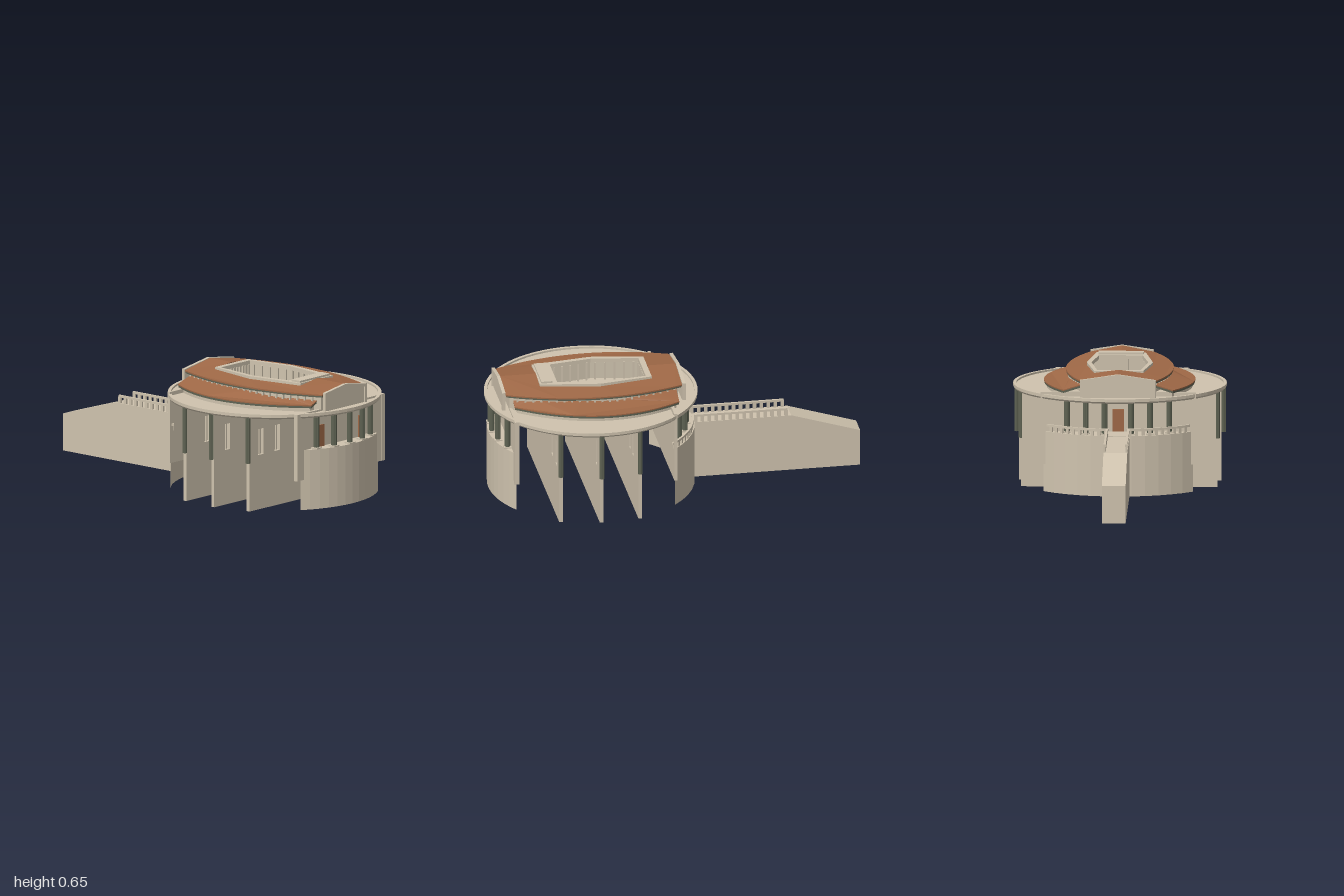
import * as THREE from 'three';

const CZ = 0.435; // centre of the round hall in z
const material = (name, color, extra = {}) => {
  const m = new THREE.MeshStandardMaterial({ color, ...extra });
  m.name = name;
  return m;
};
const stone = material('stone', 0xcfc3ae);
const shell = material('stone shell', 0xcfc3ae, { side: THREE.DoubleSide, flatShading: true });
const tile = material('clay tile', 0x9f6846);
const dark = material('dark olive', 0x5f6353);

export function createModel() {
  const root = new THREE.Group();
  const add = (name, geo, mat = stone, x = 0, y = 0, z = 0) => {
    const m = new THREE.Mesh(geo, mat);
    m.name = name;
    m.position.set(x, y, z);
    root.add(m);
    return m;
  };
  const box = (name, w, h, d, x, y, z, mat) => add(name, new THREE.BoxGeometry(w, h, d), mat, x, y + h / 2, z);
  const shapeOf = (pts) => new THREE.Shape(pts.map(([a, b]) => new THREE.Vector2(a, b)));
  const extrude = (shape, depth) => new THREE.ExtrudeGeometry(shape, { depth, bevelEnabled: false });

  // Horizontal slab from an (x, z) outline; drop(x, z) lowers it for a pitched roof
  const slab = (name, pts, top, thick, mat, drop = () => 0) => {
    const g = extrude(shapeOf(pts), thick).rotateX(Math.PI / 2);
    const p = g.attributes.position;
    for (let i = 0; i < p.count; i++) p.setY(i, p.getY(i) + top - drop(Math.abs(p.getX(i)), p.getZ(i)));
    g.computeVertexNormals();
    return add(name, g, mat);
  };
  const halves = (name, pts, ...rest) => {
    for (const s of [1, -1]) slab(name, pts.map(([x, z]) => [x * s, z]), ...rest);
  };

  // Fluted column
  const column = (name, x, z, y0, y1, r = 0.015) => {
    const pts = [];
    for (let i = 0; i < 32; i++) {
      const a = (i / 32) * Math.PI * 2, q = i % 2 ? r * 0.92 : r;
      pts.push([Math.cos(a) * q, Math.sin(a) * q]);
    }
    add(name, extrude(shapeOf(pts), y1 - y0).rotateX(-Math.PI / 2), dark, x, y0, z);
  };
  const deckColumn = (name, x, z) => {
    column(name, x, z, 0.33, 0.508);
    box(name + 'Base', 0.042, 0.007, 0.042, x, 0.33, z);
  };

  // Round roof terrace and its rim
  add('terrace', new THREE.CylinderGeometry(0.555, 0.555, 0.015, 64), stone, 0, 0.5125, CZ);
  const rim = [[0.548, 0.505], [0.558, 0.505], [0.565, 0.514], [0.565, 0.53], [0.548, 0.53], [0.548, 0.505]];
  const rimGeo = new THREE.LatheGeometry(rim.map(([a, b]) => new THREE.Vector2(a, b)), 64);
  add('terraceRim', rimGeo.toNonIndexed(), shell, 0, 0, CZ);

  // Three cross walls with window openings, each ending in columns
  const walls = [[0.68, [0.4, 0.27], 0.045], [0.47, [0.43], 0.04], [0.26, [0.35, 0.26], 0.045]];
  for (const [z, windows, w] of walls) {
    const end = Math.sqrt(0.548 ** 2 - (z - CZ) ** 2);
    const half = Math.min(end, 0.535);
    const wall = shapeOf([[-half, 0], [half, 0], [half, 0.508], [-half, 0.508]]);
    for (const s of [1, -1]) for (const x of windows) {
      const l = s * x - w / 2, r = s * x + w / 2;
      wall.holes.push(new THREE.Path([[l, 0.295], [l, 0.435], [r, 0.435], [r, 0.295]].map(([a, b]) => new THREE.Vector2(a, b))));
      box('windowMullion', 0.005, 0.14, 0.008, s * x, 0.295, z);
    }
    add('crossWall', extrude(wall, 0.02), stone, 0, 0, z - 0.01);
    for (const s of [1, -1]) column('sideColumn', s * end, z, 0.26, 0.508, 0.013);
  }

  // Curved bastions: hollow shells closed by a deck, with a wall behind the columns
  const bastion = (name, mid, half) => {
    const g = new THREE.CylinderGeometry(0.55, 0.55, 0.323, 12, 1, true, mid - half, half * 2);
    add(name + 'Bastion', g, shell, 0, 0.1685, CZ);
    const pts = [];
    for (let i = 0; i <= 12; i++) {
      const a = mid - half + (i / 12) * half * 2;
      pts.push([Math.sin(a) * 0.55, CZ + Math.cos(a) * 0.55]);
    }
    slab(name + 'Deck', pts, 0.33, 0.015, stone);
  };
  bastion('front', 0, 0.6);
  bastion('back', Math.PI, 0.8);
  box('frontWall', 0.7, 0.36, 0.016, 0, 0.17, 0.892);
  box('backWall', 0.82, 0.385, 0.016, 0, 0.155, 0.05);
  box('backDoor', 0.06, 0.12, 0.008, 0, 0.33, 0.039, tile);
  for (const s of [1, -1]) {
    box('frontPilaster', 0.025, 0.36, 0.024, s * 0.338, 0.17, 0.892);
    box('frontDoor', 0.05, 0.118, 0.008, s * 0.163, 0.33, 0.903, tile);
  }
  for (const x of [-0.215, -0.113, 0, 0.113, 0.215]) deckColumn('frontColumn', x, CZ + Math.sqrt(0.53 ** 2 - x * x));
  for (const x of [-0.27, -0.17, -0.07, 0.07, 0.17, 0.27]) deckColumn('backColumn', x, CZ - Math.sqrt(0.505 ** 2 - x * x));

  // Approach bridge sloping down at its far end
  const bridge = shapeOf([[0.1, 0.01], [1, 0.01], [1, 0.21], [0.63, 0.325], [0.1, 0.325]]);
  add('bridge', extrude(bridge, 0.126).rotateY(Math.PI / 2), stone, -0.063, 0, 0);

  // Balustrades on the bridge and along the back deck
  for (const s of [1, -1]) {
    box('bridgeRail', 0.012, 0.012, 0.5, s * 0.057, 0.356, -0.36);
    for (let i = 0; i < 14; i++) box('bridgeBaluster', 0.01, 0.035, 0.018, s * 0.057, 0.323, -0.117 - i * 0.0374);
    for (let i = 0; i < 11; i++) {
      const a = Math.PI + s * (0.12 + i * 0.066);
      const x = Math.sin(a) * 0.54, z = CZ + Math.cos(a) * 0.54;
      box('deckBaluster', 0.016, 0.03, 0.01, x, 0.328, z).rotation.y = a;
      box('deckRail', 0.037, 0.012, 0.012, x, 0.356, z).rotation.y = a;
    }
  }

  // Bowed roof edges: half width by z, a parabola through three points
  const bow = ([z0, x0], [z1, x1], [z2, x2]) => (z) =>
    (x0 * (z - z1) * (z - z2)) / ((z0 - z1) * (z0 - z2)) +
    (x1 * (z - z0) * (z - z2)) / ((z1 - z0) * (z1 - z2)) +
    (x2 * (z - z0) * (z - z1)) / ((z2 - z0) * (z2 - z1));
  const lowBow = bow([0.01, 0.29], [0.41, 0.4], [0.88, 0.21]);
  const highBow = bow([-0.02, 0.2], [0.4, 0.285], [0.92, 0.17]);
  const outerWell = [[0, 0.73], [0.13, 0.73], [0.175, 0.41], [0.13, 0.13], [0, 0.13]];
  const innerWell = [[0, 0.16], [0.115, 0.16], [0.15, 0.41], [0.115, 0.635], [0, 0.635]];
  const arc = (f, z0, z1, inset) => Array.from({ length: 25 }, (_, i) => {
    const z = z0 + inset + (i / 24) * (z1 - z0 - 2 * inset);
    return [f(z) - inset, z];
  });
  const lowTier = (inset) => [
    ...arc(lowBow, 0.01, 0.88, inset),
    ...arc((z) => highBow(z) - 0.04, 0.01 + inset, 0.88 - inset, 0).reverse(),
  ];
  const highTier = (inset) => [[0, -0.02 + inset], ...arc(highBow, -0.02, 0.92, inset), [0, 0.92 - inset], ...outerWell];

  // Two roof tiers with level eaves over recessed walls
  const lowPitch = (x, z) => (0.093 * x) / lowBow(z);
  const highPitch = (x, z) => (0.034 * x) / highBow(z);
  halves('lowerRoofWall', lowTier(0.014), 0.545, 0.03, stone);
  halves('lowerEave', lowTier(0.003), 0.643, 0.011, dark, lowPitch);
  halves('lowerRoof', lowTier(0), 0.65, 0.006, tile, lowPitch);
  halves('clerestory', highTier(0.02), 0.604, 0.085, stone);
  halves('upperEave', highTier(0.003), 0.64, 0.01, dark, highPitch);
  halves('upperRoof', highTier(0), 0.646, 0.007, tile, highPitch);
  for (const s of [1, -1]) for (let i = 0; i < 22; i++) {
    const z = 0.02 + i * 0.04;
    box('clerestoryPost', 0.01, 0.035, 0.01, s * (highBow(z) - 0.015), 0.565, z);
  }

  // Gabled end walls with a raised border
  const gable = (name, w, z, out) => {
    const outline = (m) => [[-w + m, 0.522], [w - m, 0.522], [w - m, 0.647 - 0.15 * w - m], [0, 0.647 - m], [-w + m, 0.647 - 0.15 * w - m]];
    add(name + 'Gable', extrude(shapeOf(outline(0.013)), 0.012), stone, 0, 0, z - 0.006);
    const frame = shapeOf(outline(0));
    frame.holes.push(new THREE.Path(outline(0.016).map(([a, b]) => new THREE.Vector2(a, b))));
    add(name + 'GableBorder', extrude(frame, 0.018), stone, 0, 0, z - 0.009 + out * 0.004);
  };
  gable('front', 0.167, 0.926, 1);
  gable('back', 0.2, -0.027, -1);

  // Sunken court: frame, walls and posts around the terrace floor
  halves('courtFrame', [...outerWell, ...innerWell], 0.64, 0.022, stone);
  halves('courtWall', [...outerWell, ...innerWell.map(([x, z]) => [x * 1.1, CZ + (z - CZ) * 1.03])], 0.62, 0.105, stone);
  box('courtLintel', 0.24, 0.01, 0.06, 0, 0.64, 0.69);
  for (const s of [1, -1]) for (let k = 0; k < 4; k++) for (let i = 0; i < 5; i++) {
    const [a, b] = [innerWell[k], innerWell[k + 1]];
    const t = (i + 0.5) / 5;
    box('courtPost', 0.009, 0.1, 0.009, s * (a[0] + (b[0] - a[0]) * t), 0.52, a[1] + (b[1] - a[1]) * t);
  }
  return root;
}
